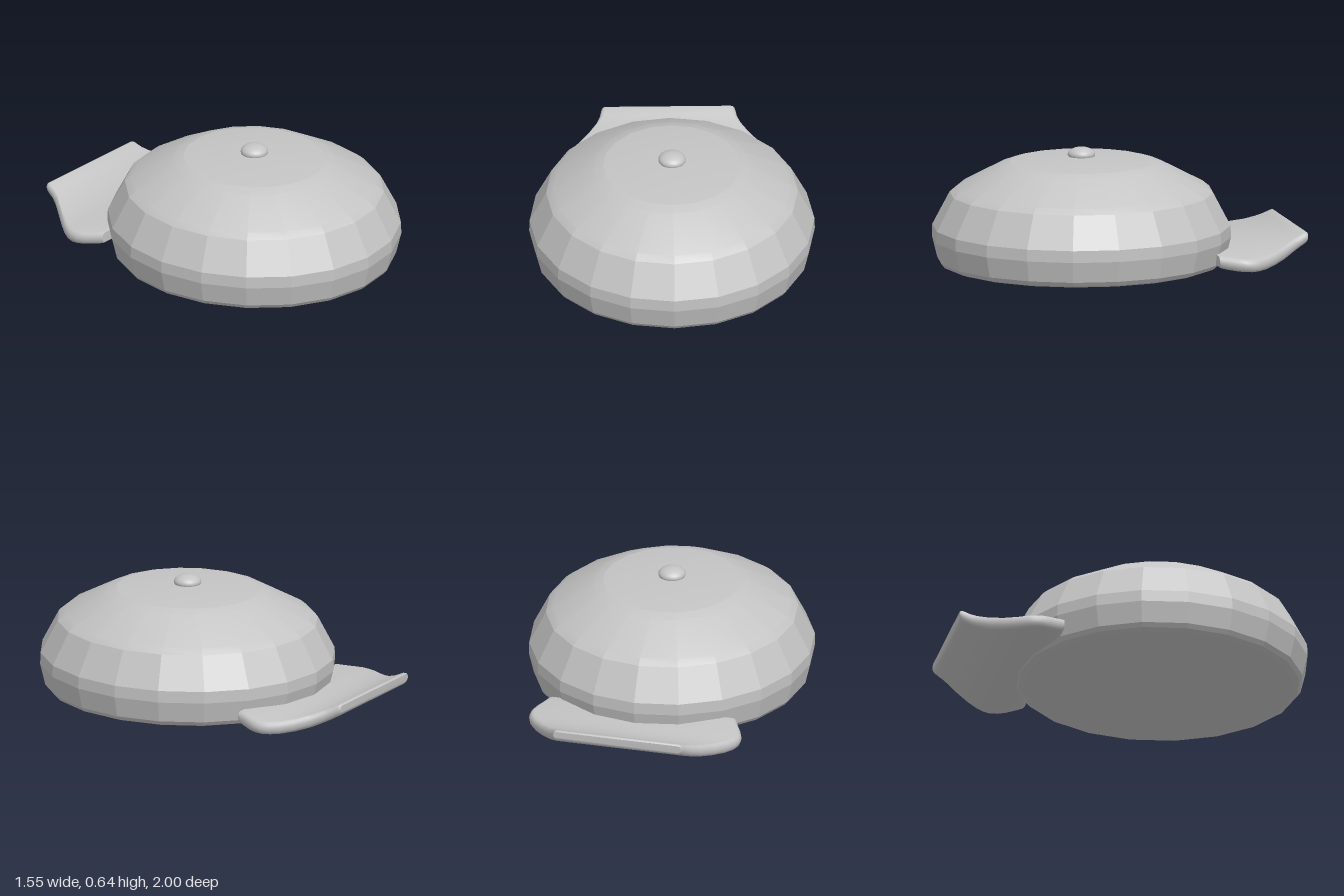
import * as THREE from 'three';
import { toCreasedNormals } from 'three/addons/utils/BufferGeometryUtils.js';

const CROWN_Z = 0.18;

// Closed loft: rings of equal length, joined and capped at both ends
function loft(rings) {
  const n = rings[0].length;
  const pos = rings.flat(2);
  const index = [];
  for (let i = 0; i < rings.length - 1; i++) {
    for (let j = 0; j < n; j++) {
      const a = i * n + j, b = i * n + (j + 1) % n;
      index.push(a, b, b + n, a, b + n, a + n);
    }
  }
  const last = (rings.length - 1) * n;
  for (let j = 1; j < n - 1; j++) {
    index.push(0, j + 1, j);
    index.push(last, last + j, last + j + 1);
  }
  const g = new THREE.BufferGeometry();
  g.setAttribute('position', new THREE.Float32BufferAttribute(pos, 3));
  g.setIndex(index);
  return g;
}

// Section across the brim: a flat bar with round ends
function brimRing([z, halfWidth, bottom, top]) {
  const ring = [], steps = 6;
  const r = (top - bottom) / 2, cy = (top + bottom) / 2;
  for (const side of [1, -1]) {
    for (let k = 0; k <= steps; k++) {
      const a = -Math.PI / 2 + (k / steps) * Math.PI;
      ring.push([
        side * (halfWidth - r * 0.8 + r * 0.8 * Math.cos(a)),
        cy + side * r * Math.sin(a),
        z,
      ]);
    }
  }
  // run the loop so that faces point outward while z decreases
  return ring.reverse();
}

export function createModel() {
  const cloth = new THREE.MeshStandardMaterial({ color: 0xc4c4c4 });
  cloth.name = 'grey cloth';
  const group = new THREE.Group();
  group.name = 'cap';
  const add = (name, geometry) => {
    const mesh = new THREE.Mesh(geometry, cloth);
    mesh.name = name;
    group.add(mesh);
    return mesh;
  };

  // Crown: twenty-sided faceted dome with a closed base
  const profile = [
    [0, 0], [0.7, 0], [0.733, 0.012], [0.75, 0.035], [0.777, 0.15], [0.775, 0.215],
    [0.685, 0.395], [0.65, 0.425], [0.43, 0.548], [0.375, 0.566], [0, 0.602],
  ].map(([x, y]) => new THREE.Vector2(x, y));
  const crownGeometry = new THREE.LatheGeometry(profile, 20);
  crownGeometry.scale(1, 1, 0.82 / 0.777 * 0.997);
  const crown = add('crown', toCreasedNormals(crownGeometry, 0.2));
  crown.position.z = CROWN_Z;

  // Button on top
  const button = add('button', new THREE.SphereGeometry(1, 24, 16));
  button.scale.set(0.075, 0.04, 0.075);
  button.position.set(0, 0.605, CROWN_Z);

  // Brim at the back, curling upward: z, half width, underside, upper side
  const stations = [
    [-0.455, 0.53, 0.045, 0.1],
    [-0.465, 0.535, 0.034, 0.102],
    [-0.5, 0.552, 0.026, 0.098],
    [-0.55, 0.578, 0.019, 0.092],
    [-0.59, 0.592, 0.016, 0.089],
    [-0.63, 0.592, 0.013, 0.086],
    [-0.67, 0.578, 0.013, 0.086],
    [-0.72, 0.545, 0.016, 0.089],
    [-0.78, 0.497, 0.026, 0.1],
    [-0.85, 0.44, 0.046, 0.12],
    [-0.91, 0.395, 0.073, 0.144],
    [-0.945, 0.377, 0.091, 0.16],
    [-0.98, 0.368, 0.111, 0.177],
    [-0.993, 0.364, 0.121, 0.179],
    [-1.0, 0.36, 0.133, 0.173],
  ];
  add('brim', toCreasedNormals(loft(stations.map(brimRing)), 0.7));

  return group;
}
